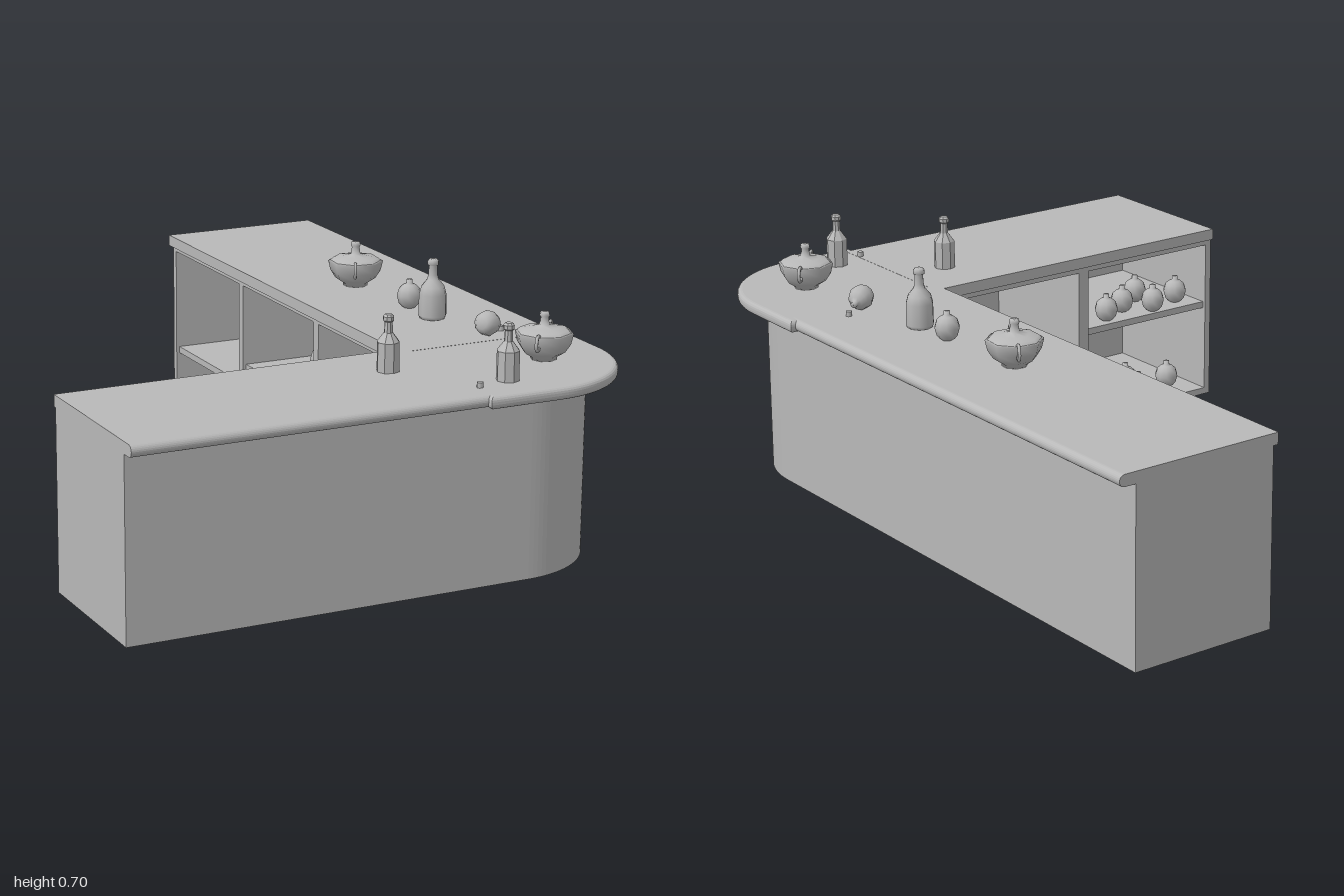
import * as THREE from 'three';

const stone = new THREE.MeshStandardMaterial({ color: 0xb8b8b8 });
stone.name = 'plainGrey';
const stoneFlat = stone.clone();
stoneFlat.name = 'plainGreyFaceted';
stoneFlat.flatShading = true;

export function createModel() {
  const root = new THREE.Group();
  root.name = 'cornerCounter';

  const add = (parent, name, geo, mat = stone) => {
    const m = new THREE.Mesh(geo, mat);
    m.name = name;
    parent.add(m);
    return m;
  };
  // Box given by its two extreme corners
  const box = (name, x0, x1, y0, y1, z0, z1) =>
    add(root, name, new THREE.BoxGeometry(x1 - x0, y1 - y0, z1 - z0))
      .position.set((x0 + x1) / 2, (y0 + y1) / 2, (z0 + z1) / 2);
  // Plan outline (x, z) pushed from y0 up to y1
  const plan = (name, shape, y0, y1) => {
    const g = new THREE.ExtrudeGeometry(shape, { depth: y1 - y0, bevelEnabled: false, curveSegments: 16 });
    g.rotateX(Math.PI / 2).translate(0, y1, 0);
    return add(root, name, g);
  };

  // ---- Cabinet: L-shaped floor and ceiling, curved outer wall ----
  const X0 = -0.755, X1 = 0.69, Z0 = -1, Z1 = 0.94, IX = 0.255, IZ = 0.5, R = 0.29, T = 0.02;
  const outerEdge = (s) => {
    s.moveTo(X0, Z1);
    s.lineTo(X1 - R, Z1);
    s.absarc(X1 - R, Z1 - R, R, Math.PI / 2, 0, true);
    s.lineTo(X1, Z0);
    return s;
  };
  const foot = outerEdge(new THREE.Shape());
  foot.lineTo(IX, Z0);
  foot.lineTo(IX, IZ);
  foot.lineTo(X0, IZ);
  plan('cabinetFloor', foot, 0, T);
  plan('cabinetCeiling', foot, 0.485, 0.505);

  const shell = outerEdge(new THREE.Shape());
  shell.lineTo(X1 - T, Z0);
  shell.lineTo(X1 - T, Z1 - R);
  shell.absarc(X1 - R, Z1 - R, R - T, 0, Math.PI / 2, false);
  shell.lineTo(X0, Z1 - T);
  plan('outerWall', shell, T, 0.485);

  // Upright panels of the two wings
  for (const [a, b] of [[-1, -0.98], [-0.525, -0.495], [-0.03, 0], [0.465, 0.495]])
    box('longWingUpright', IX, X1 - T, T, 0.485, a, b);
  for (const [a, b] of [[X0, X0 + T], [-0.285, -0.25], [0.205, 0.255]])
    box('shortWingUpright', a, b, T, 0.485, IZ, Z1 - T);

  // Shelves
  box('longWingShelf', IX + 0.01, X1 - T, 0.155, 0.175, -0.98, -0.525);
  box('longWingShelf', IX + 0.01, X1 - T, 0.22, 0.24, -0.495, -0.03);
  box('longWingShelf', IX + 0.01, X1 - T, 0.205, 0.225, 0, 0.465);
  box('shortWingShelf', -0.25, 0.205, 0.21, 0.23, IZ + 0.01, Z1 - T);
  box('shortWingShelf', X0 + T, -0.285, 0.28, 0.3, IZ + 0.01, Z1 - T);

  // ---- Counter tops with a rounded outer edge ----
  const TOP = 0.535, BOT = 0.502;
  const wingTop = (name, width, length) => {
    const s = new THREE.Shape();
    const r = (TOP - BOT) / 2;
    s.moveTo(0, BOT);
    s.lineTo(width - r, BOT);
    s.absarc(width - r, BOT + r, r, -Math.PI / 2, Math.PI / 2, false);
    s.lineTo(0, TOP);
    const g = new THREE.ExtrudeGeometry(s, { depth: length, bevelEnabled: false, curveSegments: 6 });
    return add(root, name, g);
  };
  wingTop('longWingTop', 0.5, 1.52).position.set(0.24, 0, -1);
  const shortTop = wingTop('shortWingTop', 0.495, 1.025);
  shortTop.rotation.y = -Math.PI / 2;
  shortTop.position.set(0.27, 0, 0.49);

  const B = 0.014, CR = 0.3;
  const corner = new THREE.Shape();
  corner.moveTo(0.24 + B, 0.49 + B);
  corner.lineTo(0.24 + B, 1 - B);
  corner.lineTo(0.755 - CR, 1 - B);
  corner.absarc(0.755 - CR, 1 - CR, CR - B, Math.PI / 2, 0, true);
  corner.lineTo(0.755 - B, 0.49 + B);
  const cornerGeo = new THREE.ExtrudeGeometry(corner, {
    depth: 0.007, bevelThickness: B, bevelSize: B, bevelSegments: 4, curveSegments: 16,
  });
  cornerGeo.rotateX(Math.PI / 2).translate(0, TOP - 0.0005 - B, 0);
  add(root, 'cornerTop', cornerGeo);

  // ---- Tableware: turned profiles of [radius, height] ----
  const lathe = (pts, n) => new THREE.LatheGeometry(pts.map((p) => new THREE.Vector2(p[0], p[1])), n);
  const bowlGeo = lathe([[0, 0], [0.036, 0], [0.036, 0.008], [0.058, 0.022], [0.073, 0.045], [0.08, 0.074], [0.074, 0.076]], 8);
  const lidGeo = lathe([[0.076, 0.074], [0.066, 0.083], [0.04, 0.088], [0.014, 0.094], [0.011, 0.115], [0.014, 0.12], [0.012, 0.13], [0, 0.13]], 8);
  const handleGeo = new THREE.TorusGeometry(0.02, 0.005, 6, 10);
  const tallGeo = lathe([[0, 0], [0.036, 0], [0.04, 0.01], [0.039, 0.07], [0.033, 0.092], [0.017, 0.112], [0.013, 0.125],
    [0.012, 0.152], [0.016, 0.154], [0.016, 0.164], [0.012, 0.17], [0, 0.17]], 10);
  const smallGeo = lathe([[0, 0], [0.031, 0], [0.031, 0.08], [0.012, 0.105], [0.011, 0.134], [0.015, 0.138], [0.015, 0.148], [0.01, 0.154], [0, 0.154]], 8);
  const flaskGeo = lathe([[0, 0], [0.018, 0], [0.03, 0.013], [0.036, 0.035], [0.03, 0.055], [0.018, 0.066], [0.009, 0.07], [0.009, 0.081], [0, 0.081]], 10);

  const place = (name, x, y, z, turn = 0) => {
    const g = new THREE.Group();
    g.name = name;
    g.position.set(x, y, z);
    g.rotation.y = turn;
    root.add(g);
    return g;
  };
  const pot = (x, y, z, turn) => {
    const g = place('tureen', x, y, z, turn);
    add(g, 'bowl', bowlGeo);
    add(g, 'lid', lidGeo);
    for (const side of [-1, 1]) add(g, 'handle', handleGeo).position.set(side * 0.084, 0.063, 0);
  };
  const tall = (x, y, z) => add(place('tallBottle', x, y, z), 'bottle', tallGeo);
  const small = (x, y, z) => add(place('smallBottle', x, y, z), 'bottle', smallGeo, stoneFlat);
  const flask = (x, y, z) => add(place('roundFlask', x, y, z), 'flask', flaskGeo);

  // On the counter
  pot(0.47, TOP, -0.185, 1.08);
  pot(0.55, TOP, 0.74, 0.83);
  tall(0.49, TOP, 0.24);
  flask(0.49, TOP, 0.105);
  small(0.12, TOP, 0.665);
  small(0.36, TOP, 0.875);

  // Flask lying on its side, with loose stoppers
  const lying = place('lyingFlask', 0.535, TOP + 0.035, 0.47, 0.5);
  lying.rotation.z = -1.8;
  add(lying, 'flask', flaskGeo).position.y = -0.035;
  const corkGeo = new THREE.CylinderGeometry(0.009, 0.009, 0.014, 8);
  add(root, 'stopper', corkGeo).position.set(0.26, TOP + 0.007, 0.905);
  add(root, 'stopper', corkGeo).position.set(0.595, TOP + 0.007, 0.44);

  // On the shelves
  pot(0.02, 0.23, 0.63, 0.2);
  pot(0.355, T, 0.14, 1.1);
  pot(0.37, T, 0.34, 0.7);
  tall(0.39, 0.24, -0.23);
  small(0.32, 0.225, 0.17);
  small(0.34, 0.225, 0.3);
  for (const [x, z] of [[-0.39, 0.55], [-0.48, 0.59], [-0.56, 0.54], [-0.575, 0.65], [-0.67, 0.57]]) flask(x, 0.3, z);
  for (const [x, z] of [[-0.4, 0.56], [-0.36, 0.725], [-0.52, 0.56], [-0.46, 0.7], [-0.5, 0.8], [-0.54, 0.65], [-0.655, 0.59]])
    flask(x, T, z);

  return root;
}
